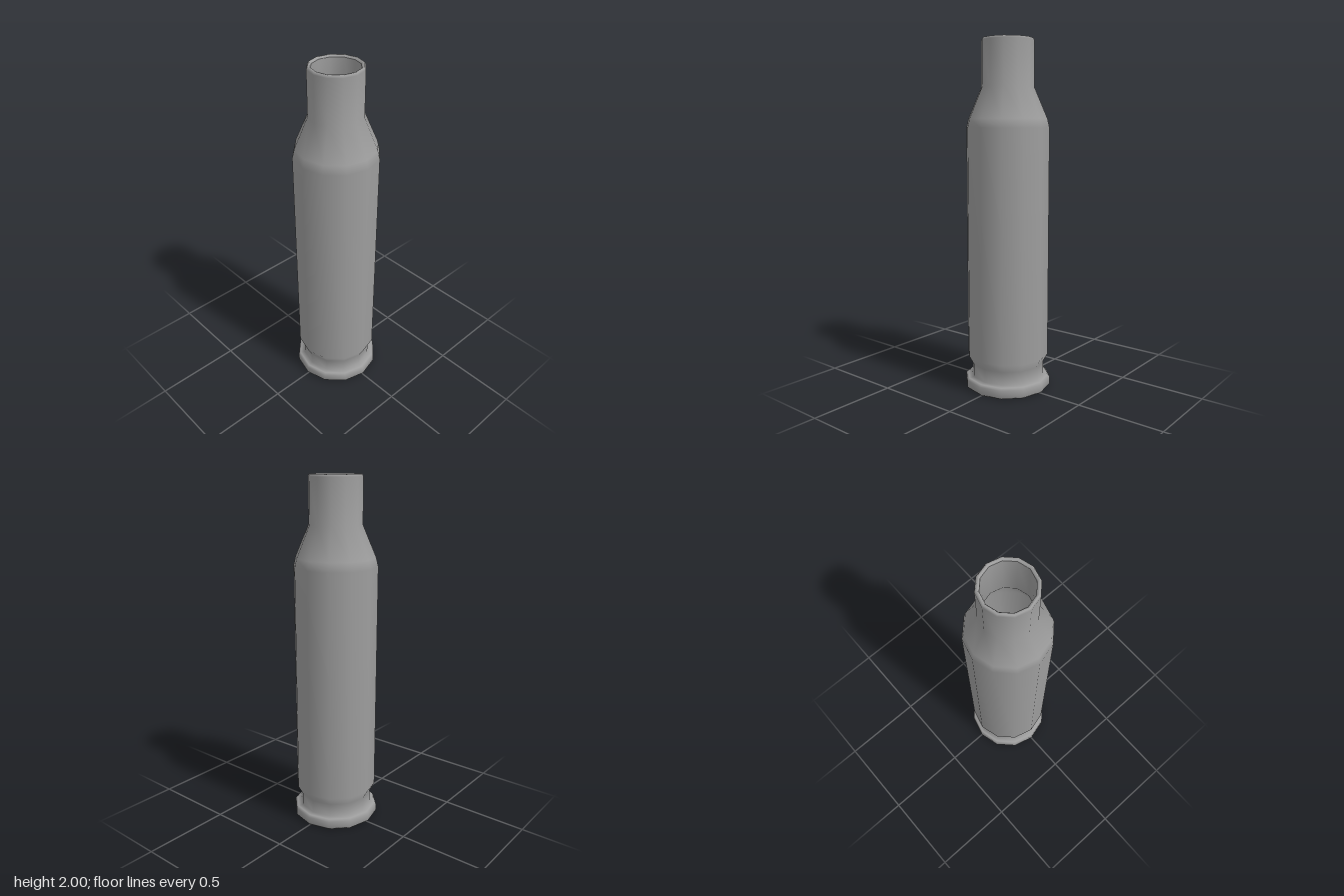
import * as THREE from 'three';

const SIDES = 12;
const material = new THREE.MeshStandardMaterial({ color: 0x9d9d9d });

// Turns a profile of [radius, height] pairs; upward runs face outward
function turned(name, profile) {
  const points = profile.map(([r, y]) => new THREE.Vector2(r, y));
  const mesh = new THREE.Mesh(new THREE.LatheGeometry(points, SIDES), material);
  mesh.name = name;
  return mesh;
}

export function createModel() {
  const group = new THREE.Group();
  group.name = 'cartridgeCase';

  // Rounded rim, extractor groove, body, shoulder, neck and mouth lip
  group.add(turned('caseOuter', [
    [0.11, 0.03], [0.13, 0], [0.238, 0],
    [0.25, 0.012], [0.25, 0.053], [0.238, 0.065],
    [0.21, 0.07], [0.21, 0.145],
    [0.237, 0.195], [0.237, 1.51],
    [0.225, 1.56], [0.15, 1.735], [0.15, 1.988], [0.143, 2], [0.134, 2], [0.128, 1.99],
  ]));

  // Hollow inside, down to the flash hole
  group.add(turned('caseInner', [
    [0.128, 1.99], [0.128, 1.73], [0.215, 1.51], [0.215, 0.25],
    [0.18, 0.2], [0.055, 0.19], [0.055, 0.07], [0, 0.065],
  ]));

  // Recessed primer with a struck dimple
  group.add(turned('primer', [
    [0, 0.055], [0.025, 0.05], [0.045, 0.03], [0.11, 0.03],
  ]));

  return group;
}
